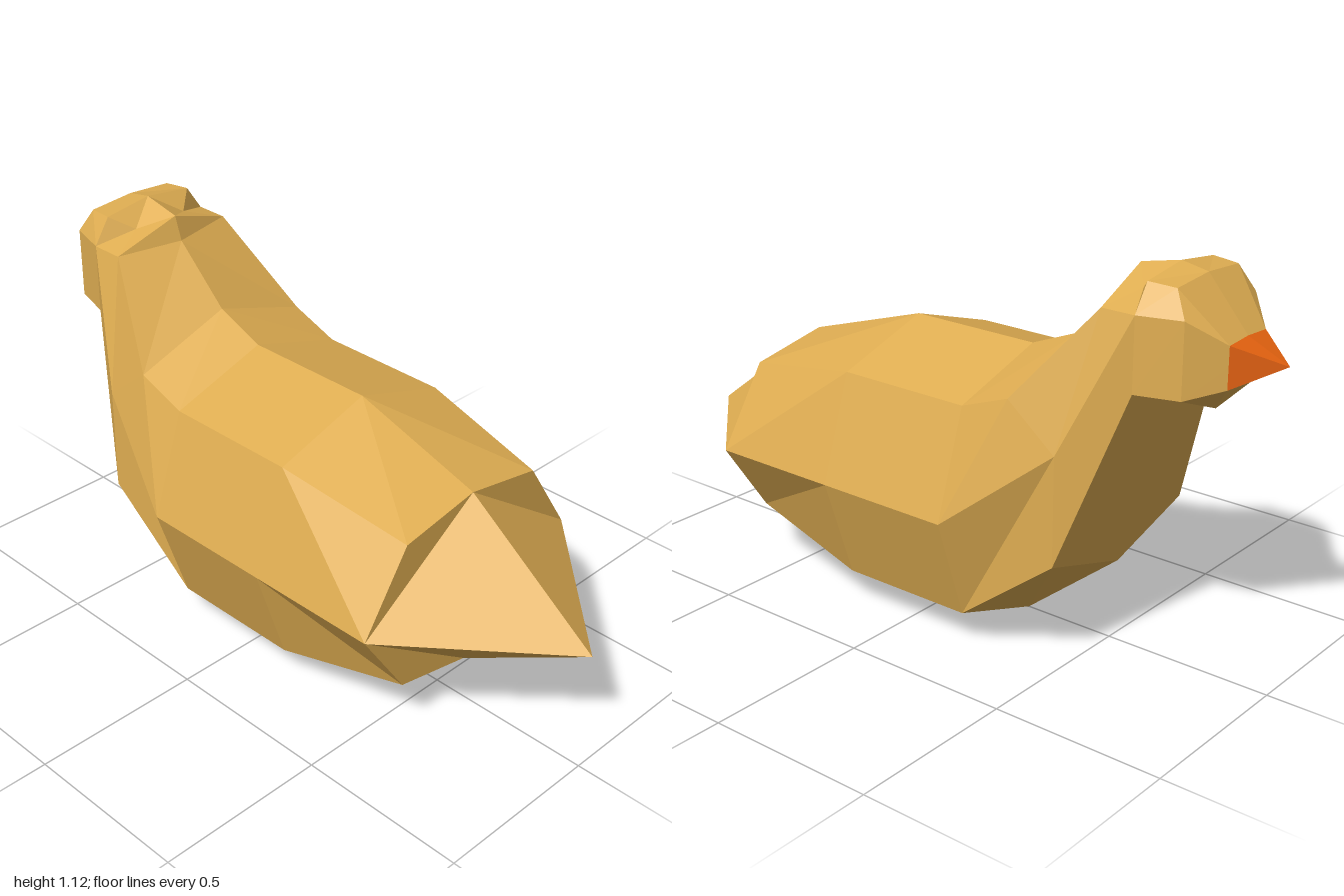
import * as THREE from 'three';

const plumage = new THREE.MeshStandardMaterial({ color: 0xe0ae52 });
plumage.name = 'golden plumage';
const orange = new THREE.MeshStandardMaterial({ color: 0xe0600f });
orange.name = 'beak orange';

const V = (x, y, z) => new THREE.Vector3(x, y, z);

// Full eight-point ring from five half points: top, upper, middle, lower, bottom
function ring(...half) {
  const right = half.map(p => V(...p));
  const left = [3, 2, 1].map(i => V(-half[i][0], half[i][1], half[i][2]));
  return [...right, ...left];
}

// Adds one triangle, skipping collapsed ones
function tri(out, a, b, c) {
  if (new THREE.Triangle(a, b, c).getArea() > 1e-6) out.push(a, b, c);
}

// Skin between consecutive rings, with mirrored diagonals
function loft(out, rings) {
  for (let i = 0; i < rings.length - 1; i++) {
    for (let j = 0; j < 8; j++) {
      const k = (j + 1) % 8;
      const a = rings[i][j], b = rings[i][k], c = rings[i + 1][j], d = rings[i + 1][k];
      if (j < 4) { tri(out, a, b, c); tri(out, b, d, c); }
      else { tri(out, a, b, d); tri(out, a, d, c); }
    }
  }
}

// Separate corners per face give the faceted look
function facetedMesh(points, material, name) {
  const geometry = new THREE.BufferGeometry().setFromPoints(points);
  geometry.computeVertexNormals();
  const mesh = new THREE.Mesh(geometry, material);
  mesh.name = name;
  return mesh;
}

export function createModel() {
  const group = new THREE.Group();
  group.name = 'bird';

  // Cross-sections from rump to beak root
  const rump = ring([0, 0.675, 0.59], [0.25, 0.63, 0.59], [0.4, 0.4, 0.59], [0.25, 0.18, 0.59], [0, 0.13, 0.59]);
  const trunk = [0.19, -0.22].map(z =>
    ring([0, 0.8, z], [0.3, 0.705, z], [0.4, 0.4, z], [0.3, 0.1, z], [0, 0, z]));
  const breast = ring([0, 0.86, -0.37], [0.3, 0.76, -0.37], [0.3, 0.64, -0.52], [0.3, 0.33, -0.52], [0, 0.24, -0.52]);
  const jaw = [[0.2, 1.02, -0.68], [0.2, 0.815, -0.68], [0, 0.75, -0.68]];
  const nape = ring([0, 1.02, -0.537], [0.2, 1.02, -0.58], ...jaw);
  const headBack = ring([0, 1.09, -0.56], [0.09, 1.055, -0.63], ...jaw);
  const crown = ring([0, 1.115, -0.68], [0.15, 1.095, -0.68], ...jaw);
  const face = ring([0, 1.1, -0.76], [0.14, 1.09, -0.76], [0.165, 1.02, -0.8], [0.165, 0.815, -0.8], [0, 0.75, -0.8]);
  const beakRoot = ring([0, 0.96, -0.88], [0.085, 0.955, -0.88], [0.085, 0.9, -0.88], [0.085, 0.84, -0.88], [0, 0.835, -0.88]);

  // Body, neck and head
  const body = [];
  loft(body, [rump, ...trunk, breast, nape, headBack, crown, face, beakRoot]);
  group.add(facetedMesh(body, plumage, 'bodyAndHead'));

  // Four-sided pointed tail with flat corners around its root
  const tail = [], tailTip = V(0.01, 0.36, 1);
  for (let k = 0; k < 8; k += 2) {
    const next = rump[(k + 2) % 8];
    tri(tail, next, rump[k + 1], rump[k]);
    tri(tail, next, rump[k], tailTip);
  }
  group.add(facetedMesh(tail, plumage, 'tail'));

  // Pointed beak
  const beak = [], beakTip = V(0, 0.905, -1);
  for (let j = 0; j < 8; j++) tri(beak, beakRoot[j], beakRoot[(j + 1) % 8], beakTip);
  group.add(facetedMesh(beak, orange, 'beak'));

  return group;
}
